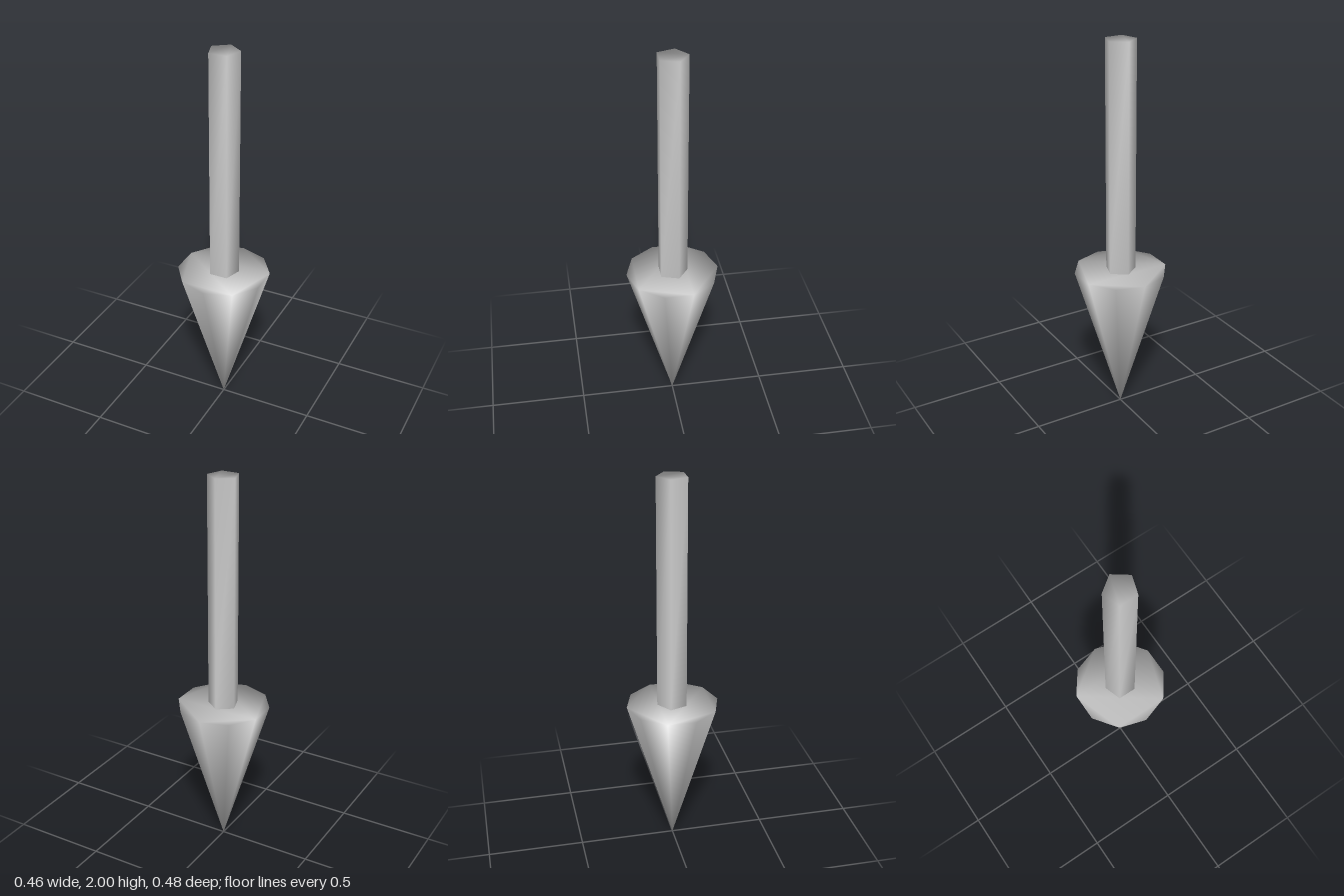
import * as THREE from 'three';
import { mergeGeometries, mergeVertices } from 'three/addons/utils/BufferGeometryUtils.js';

// Prism or cone with a flat polygon top, first corner at -z, normals smoothed over the rim
function taperedPrism(rTop, rBottom, y0, y1, sides) {
  const wall = new THREE.CylinderGeometry(rTop, rBottom, y1 - y0, sides, 1, true, Math.PI);
  wall.translate(0, (y0 + y1) / 2, 0);

  const corners = [];
  for (let i = 0; i < sides; i++) {
    const t = Math.PI + (i / sides) * Math.PI * 2;
    corners.push(new THREE.Vector2(rTop * Math.sin(t), -rTop * Math.cos(t)));
  }
  const cap = new THREE.ShapeGeometry(new THREE.Shape(corners));
  cap.rotateX(-Math.PI / 2).translate(0, y1, 0);

  for (const g of [wall, cap]) {
    g.deleteAttribute('normal');
    g.deleteAttribute('uv');
  }
  const merged = mergeVertices(mergeGeometries([wall, cap]), 1e-4);
  merged.computeVertexNormals();
  return merged;
}

export function createModel() {
  const model = new THREE.Group();
  model.name = 'downArrow';
  const grey = new THREE.MeshStandardMaterial({ color: 0xcccccc });

  const add = (name, geometry) => {
    const mesh = new THREE.Mesh(geometry, grey);
    mesh.name = name;
    model.add(mesh);
  };

  // Ten-sided head pointing down
  add('arrowHead', taperedPrism(0.24, 0, 0, 0.8, 10));
  // Five-sided shaft standing on the head
  add('shaft', taperedPrism(0.08, 0.08, 0.8, 2, 5));

  return model;
}
